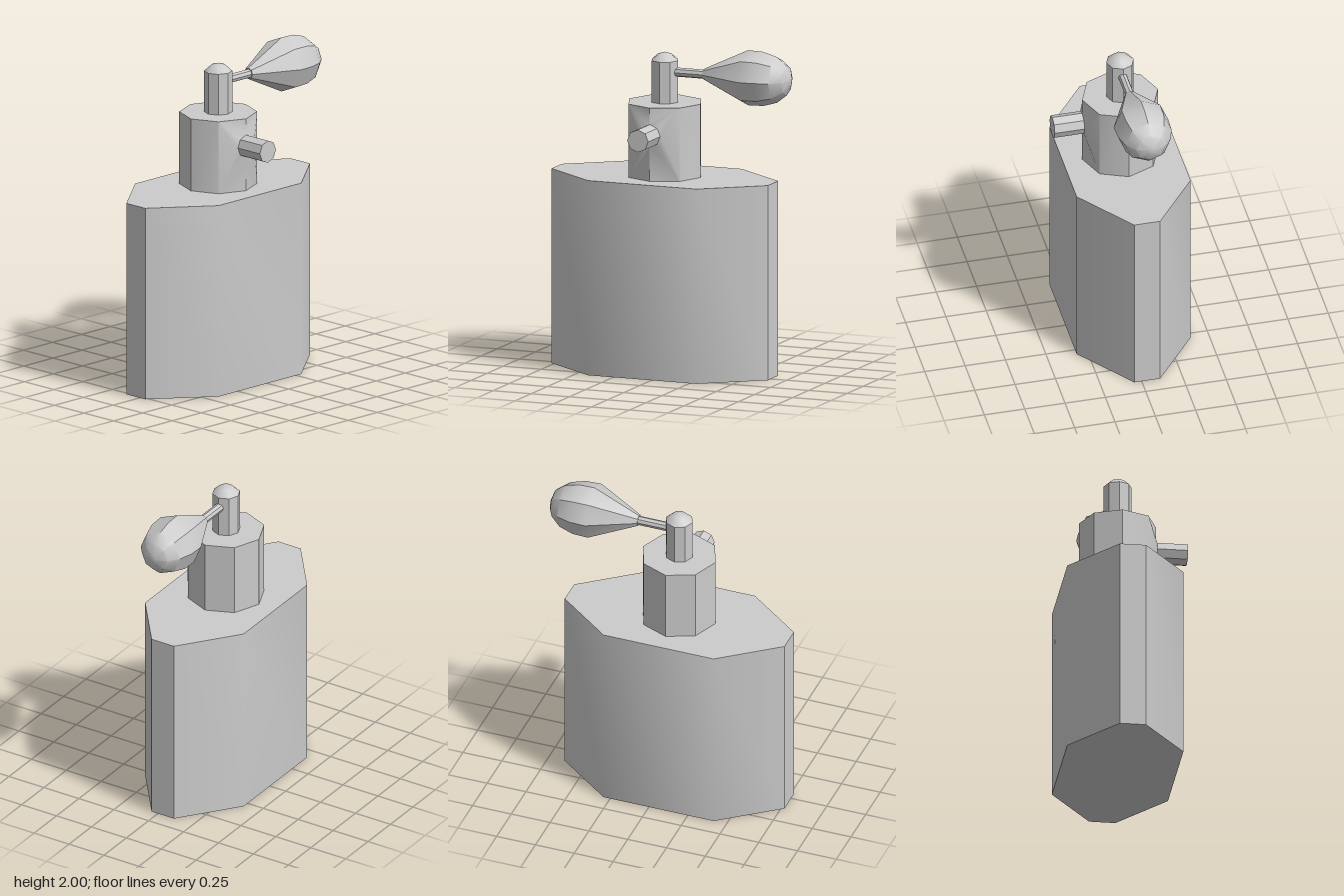
import * as THREE from 'three';
import { mergeGeometries, toCreasedNormals } from 'three/addons/utils/BufferGeometryUtils.js';

const SIDES = 8;
const CREASE = 0.7;

export function createModel() {
  const model = new THREE.Group();
  model.name = 'perfumeAtomizer';
  const material = new THREE.MeshStandardMaterial({ color: 0xcccccc });

  const add = (name, geometry, x = 0, y = 0, z = 0) => {
    const mesh = new THREE.Mesh(toCreasedNormals(geometry, CREASE), material);
    mesh.name = name;
    mesh.position.set(x, y, z);
    model.add(mesh);
    return mesh;
  };
  const lathe = (points) =>
    new THREE.LatheGeometry(points.map(([r, y]) => new THREE.Vector2(r, y)), SIDES);

  // Bottle: wide eight-sided block
  const outline = [[0.708, 0.08], [0.355, 0.353], [-0.355, 0.353], [-0.708, 0.08],
    [-0.708, -0.08], [-0.355, -0.353], [0.355, -0.353], [0.708, -0.08]];
  const shape = new THREE.Shape(outline.map(([x, y]) => new THREE.Vector2(x, y)));
  const bottle = new THREE.ExtrudeGeometry(shape, { depth: 1.195, bevelEnabled: false });
  add('bottle', bottle.rotateX(-Math.PI / 2));

  // Collar: octagonal prism whose two front sides blend into the nozzle ring
  const bottom = 1.195, top = 1.645, radius = 0.235;
  const nozzleY = 1.475, nozzleRadius = 0.069;
  const wall = new THREE.CylinderGeometry(radius, radius, top - bottom, 6, 1, true, Math.PI / 4, Math.PI * 1.5)
    .translate(0, (top + bottom) / 2, 0).toNonIndexed();
  const lid = new THREE.CircleGeometry(radius, SIDES, Math.PI / 2).rotateX(-Math.PI / 2)
    .translate(0, top, 0).toNonIndexed();
  add('collar', mergeGeometries([wall, lid, blendedFront(bottom, top, radius, nozzleY, nozzleRadius)]
    .map((g) => { g.deleteAttribute('uv'); g.deleteAttribute('normal'); return g; })));

  // Spray nozzle pointing forward
  const nozzle = new THREE.CylinderGeometry(nozzleRadius, nozzleRadius, 0.185, SIDES);
  add('nozzle', nozzle.rotateX(Math.PI / 2), 0, nozzleY, radius + 0.0925);

  // Stem with a low domed cap
  add('stem', lathe([[0.085, 1.64], [0.085, 1.9], [0.045, 1.936], [0, 1.95]]));

  // Thin tube leading to the squeeze bulb
  const pumpY = 1.831;
  const tube = new THREE.CylinderGeometry(0.028, 0.028, 0.2, SIDES);
  add('tube', tube.rotateZ(Math.PI / 2), 0.165, pumpY, 0);

  // Squeeze bulb: tapered neck and rounded end
  const bulb = lathe([[0, 0.26], [0.035, 0.26], [0.169, 0.545], [0.166, 0.645],
    [0.14, 0.735], [0.09, 0.798], [0.025, 0.822], [0, 0.825]]);
  add('squeezeBulb', bulb.rotateZ(-Math.PI / 2), 0, pumpY, 0);

  model.position.set(-0.062, 0, -0.034);
  const root = new THREE.Group();
  root.name = 'atomizer';
  root.add(model);
  return root;
}

// Fans from the collar corners to half of the nozzle ring, mirrored to the other half
function blendedFront(bottom, top, radius, ringY, ringRadius) {
  const c = radius * Math.SQRT1_2;
  const upperMid = [0, top, radius], lowerMid = [0, bottom, radius];
  const upper = [-c, top, c], lower = [-c, bottom, c];
  const ring = [0, 1, 2, 3, 4].map((k) => {
    const a = (k * Math.PI) / 4;
    return [-Math.sin(a) * ringRadius, ringY + Math.cos(a) * ringRadius, radius];
  });
  const triangles = [
    [upperMid, upper, ring[0]], [upper, ring[1], ring[0]], [upper, ring[2], ring[1]],
    [upper, lower, ring[2]],
    [lower, ring[3], ring[2]], [lower, ring[4], ring[3]], [lower, lowerMid, ring[4]],
  ];
  const flip = ([x, y, z]) => [-x, y, z];
  const mirrored = triangles.map(([p, q, r]) => [flip(p), flip(r), flip(q)]);
  const geometry = new THREE.BufferGeometry();
  geometry.setAttribute('position',
    new THREE.Float32BufferAttribute([...triangles, ...mirrored].flat(2), 3));
  return geometry;
}
